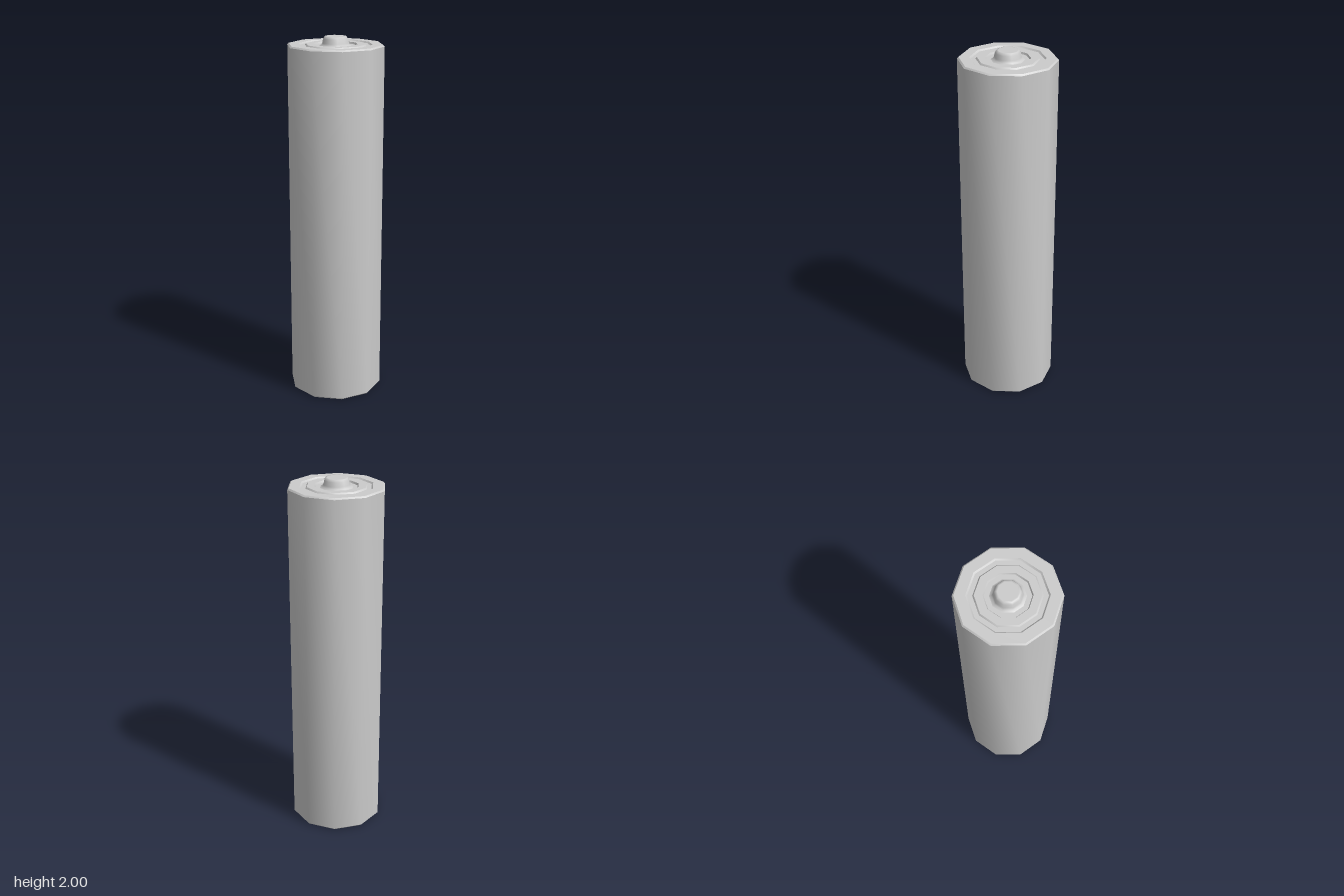
import * as THREE from 'three';
import { toCreasedNormals } from 'three/addons/utils/BufferGeometryUtils.js';

const SIDES = 10;
const material = new THREE.MeshStandardMaterial({ color: 0xcccccc });

// Ten-sided turned part; profile runs from the bottom axis outward and up.
function turned(name, profile, crease) {
  const points = profile.map(([r, y]) => new THREE.Vector2(r, y));
  const lathe = new THREE.LatheGeometry(points, SIDES);
  const mesh = new THREE.Mesh(crease ? toCreasedNormals(lathe, crease) : lathe, material);
  mesh.name = name;
  return mesh;
}

// End face from the rim inward: flat rim, groove, raised ring, recessed floor.
// dir = 1 for the top end, -1 for the bottom end.
function endProfile(y, dir) {
  const low = y - dir * 0.008;
  return [
    [0.26, low], [0.252, y], [0.197, y], [0.189, low],
    [0.165, low], [0.158, y], [0.118, y], [0.113, y - dir * 0.01],
  ];
}

export function createModel() {
  const group = new THREE.Group();
  group.name = 'battery';
  const top = 1.96;
  const crease = 0.7;

  // Outer casing
  group.add(turned('casing', [[0.26, 0.008], [0.26, top - 0.008]], crease));

  // Positive end with its floor around the terminal
  group.add(turned('topCap', [...endProfile(top, 1), [0.086, top - 0.01]], crease));

  // Positive terminal, softly shaded
  group.add(turned('positiveTerminal', [
    [0.088, top - 0.01], [0.077, top - 0.005], [0.071, top + 0.006],
    [0.066, 1.988], [0.058, 2.0], [0.05, 2.0], [0, 2.0],
  ]));

  // Negative end with a shallow central contact
  group.add(turned('bottomCap', [[0.086, 0.01], ...endProfile(0, -1).reverse()], crease));
  group.add(turned('negativeContact', [[0, 0.003], [0.055, 0.003], [0.07, 0.005], [0.086, 0.01]]));

  return group;
}
